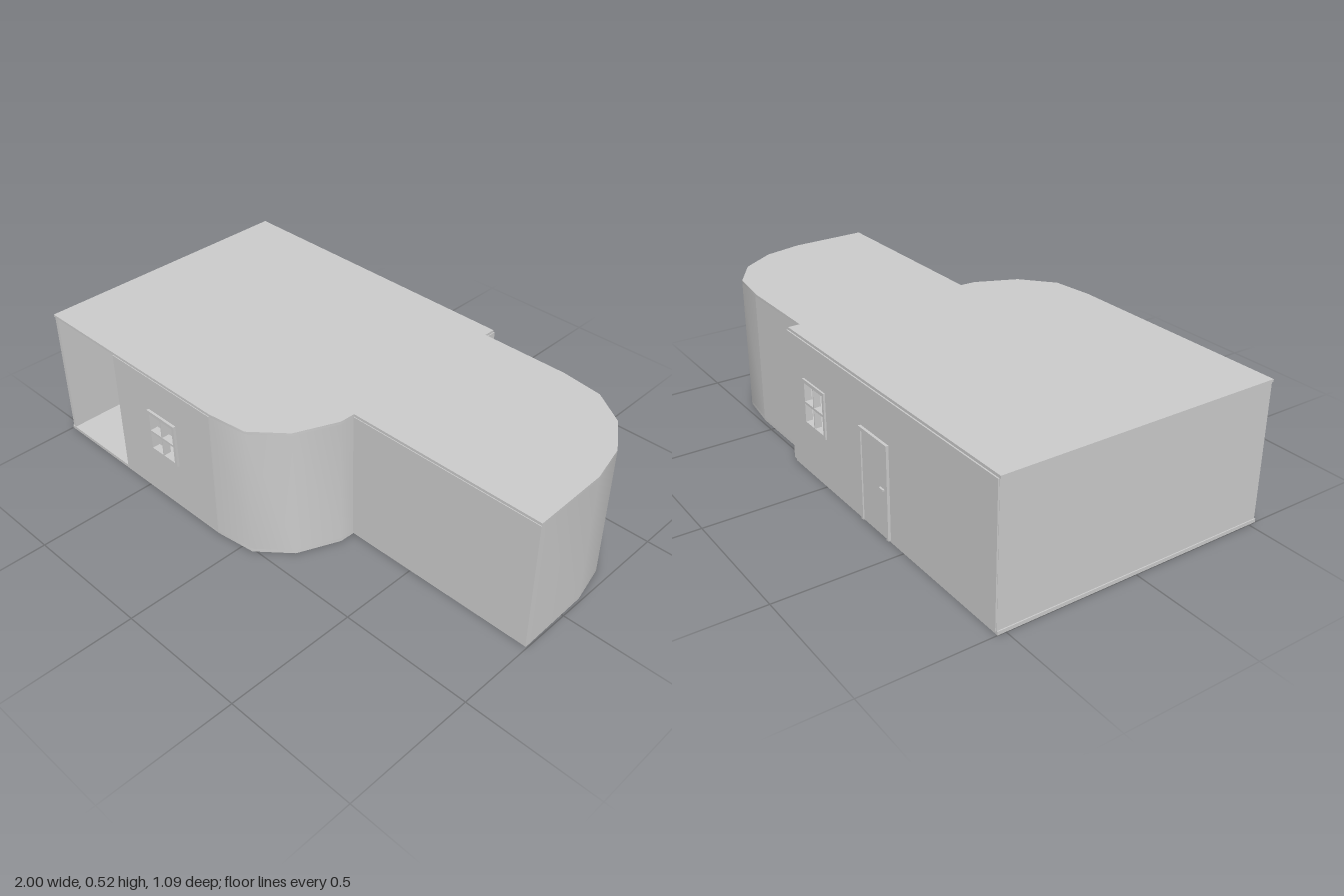
import * as THREE from 'three';
import { toCreasedNormals } from 'three/addons/utils/BufferGeometryUtils.js';

const FLOOR = 0.013, CEILING = 0.515, TOP = 0.525, WALL = 0.015;

// Curved corners in plan, as [x, z]
const FRONT_CURVE = [[0.23, 0.195], [0.228, 0.255], [0.16, 0.41], [0.045, 0.51], [-0.11, 0.53]];
const BACK_CURVE = [[0.58, -0.485], [0.74, -0.465], [0.87, -0.38], [0.955, -0.25], [0.99, -0.1], [0.995, 0.195]];

export function createModel() {
  const house = new THREE.Group();
  house.name = 'house';
  const material = new THREE.MeshStandardMaterial({ color: 0xcccccc, side: THREE.DoubleSide });

  function add(name, geometry) {
    const mesh = new THREE.Mesh(geometry, material);
    mesh.name = name;
    house.add(mesh);
    return mesh;
  }

  const polygon = (points) => new THREE.Shape(points.map(([x, y]) => new THREE.Vector2(x, y)));
  const rect = (x0, x1, y0, y1) => [[x0, y0], [x1, y0], [x1, y1], [x0, y1]];

  // Box given by its limits
  function box(name, x0, x1, y0, y1, z0, z1) {
    const g = new THREE.BoxGeometry(x1 - x0, y1 - y0, z1 - z0);
    g.translate((x0 + x1) / 2, (y0 + y1) / 2, (z0 + z1) / 2);
    return add(name, g);
  }

  // Upright panel with openings, between z0 and z1
  function panel(name, outline, holes, z0, z1) {
    const shape = polygon(outline);
    shape.holes = holes.map(polygon);
    const g = new THREE.ExtrudeGeometry(shape, { depth: z1 - z0, bevelEnabled: false });
    return add(name, g.translate(0, 0, z0));
  }

  // Plan outline raised from y0 to y1
  function raise(name, points, y0, y1) {
    const g = new THREE.ExtrudeGeometry(polygon(points), { depth: y1 - y0, bevelEnabled: false });
    g.rotateX(Math.PI / 2).translate(0, y1, 0);
    return add(name, toCreasedNormals(g, 0.75));
  }

  // Wall of even thickness following a curve, thickened towards its centre
  function curvedWall(name, curve, cx, cz) {
    const inner = curve.map(([x, z]) => {
      const d = Math.hypot(cx - x, cz - z);
      return [x + (cx - x) / d * WALL, z + (cz - z) / d * WALL];
    });
    raise(name, [...curve, ...inner.reverse()], FLOOR, CEILING);
  }

  // Four-pane window frame set through a wall
  function windowFrame(name, x0, y0, z0, z1) {
    const panes = [];
    for (const i of [0, 1]) for (const j of [0, 1]) {
      const x = x0 + 0.012 + i * 0.065, y = y0 + 0.013 + j * 0.079;
      panes.push(rect(x, x + 0.06, y, y + 0.07));
    }
    panel(name, rect(x0, x0 + 0.149, y0, y0 + 0.175), panes, z0, z1);
  }
  const windowHole = (x0) => rect(x0 + 0.005, x0 + 0.144, 0.205, 0.37);

  // Floor and roof slabs
  const plan = [[-1, -0.53], [0.232, -0.53], [0.232, -0.485], ...BACK_CURVE, ...FRONT_CURVE, [-1, 0.53]];
  raise('floorSlab', plan, 0, FLOOR);
  raise('roofSlab', plan, CEILING, TOP);

  // Straight outer walls
  box('sideWall', -0.996, -0.996 + WALL, FLOOR, CEILING, -0.53, 0.528);
  panel('frontWall', rect(-0.62, -0.11, FLOOR, CEILING), [windowHole(-0.45)], 0.533 - WALL, 0.533);
  box('wingFrontWall', 0.225, 0.995, FLOOR, CEILING, 0.198 - WALL, 0.198);
  panel('backWall', rect(-0.995, 0.235, FLOOR, CEILING), [windowHole(-0.025)], -0.535, -0.535 + WALL);
  box('backStepWall', 0.235 - WALL, 0.235, FLOOR, CEILING, -0.535, -0.47);
  box('wingBackWall', 0.225, 0.585, FLOOR, CEILING, -0.485, -0.485 + WALL);

  // Rounded walls
  curvedWall('frontRoundedWall', FRONT_CURVE, -0.11, 0.195);
  curvedWall('backRoundedWall', BACK_CURVE, 0.58, 0);

  // Inner wall beside the open garage
  box('garagePartition', -0.634, -0.62, FLOOR, CEILING, -0.52, 0.533);

  // Windows
  windowFrame('frontWindow', -0.45, 0.2, 0.513, 0.543);
  windowFrame('backWindow', -0.025, 0.2, -0.542, -0.515);

  // Back door with frame and handle
  panel('doorFrame', [[-0.43, FLOOR], [-0.418, FLOOR], [-0.418, 0.347], [-0.272, 0.347],
    [-0.272, FLOOR], [-0.26, FLOOR], [-0.26, 0.36], [-0.43, 0.36]], [], -0.545, -0.53);
  box('door', -0.418, -0.272, FLOOR, 0.347, -0.54, -0.53);
  box('doorHandle', -0.406, -0.382, 0.187, 0.193, -0.547, -0.538);

  return house;
}
